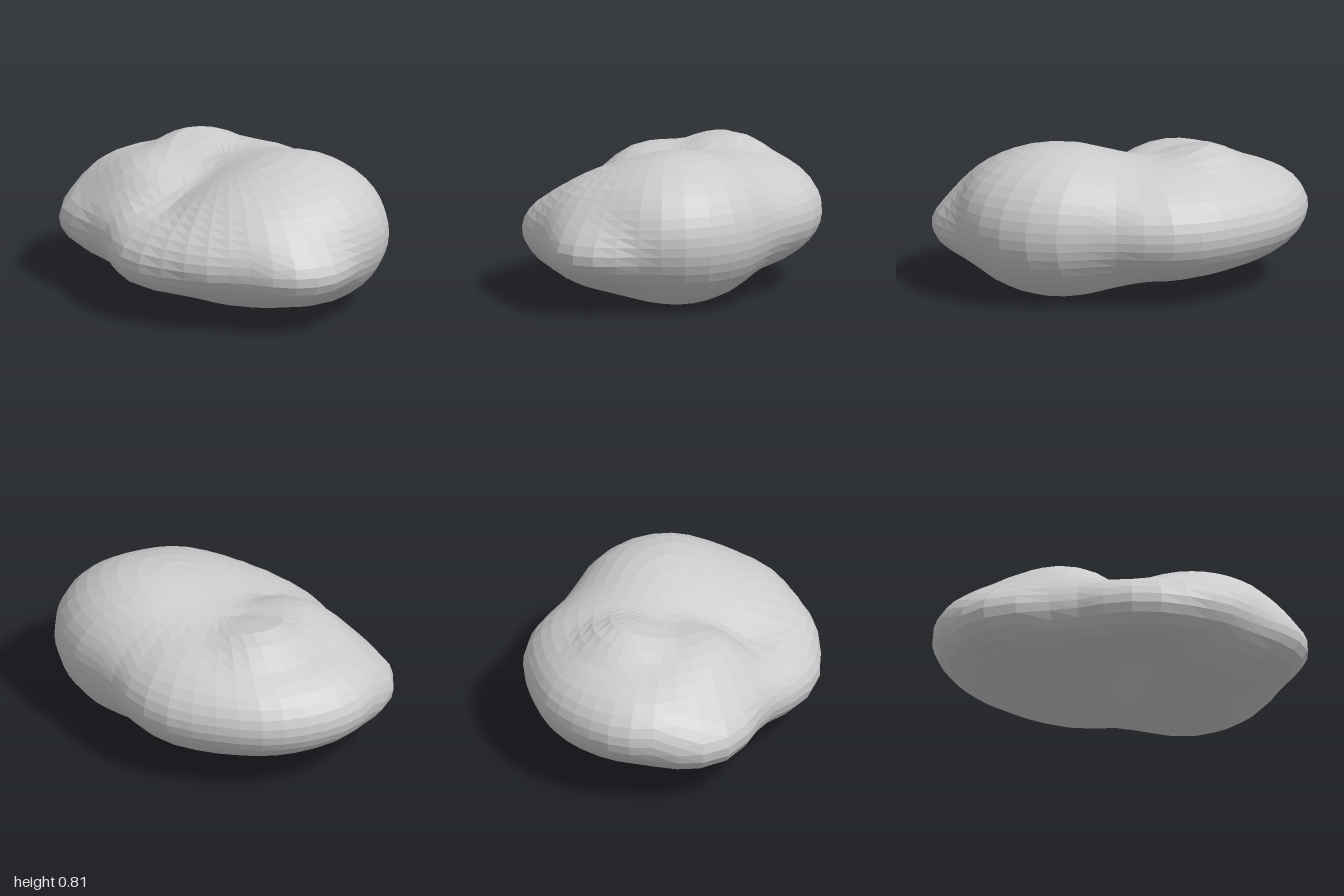
import * as THREE from 'three';

// Rounded masses that fuse into one stone: centre, radii
const MASSES = [
  { centre: [0.23, 0.41, 0.3], radii: [0.49, 0.405, 0.56] },     // main front bulk
  { centre: [0.2, 0.41, -0.2], radii: [0.52, 0.32, 0.57] },      // left rear bulk
  { centre: [-0.1, 0.41, -0.6], radii: [0.42, 0.25, 0.395] },    // rear end
  { centre: [0.12, 0.41, -0.5], radii: [0.38, 0.25, 0.42] },     // left rear slope
  { centre: [-0.4, 0.34, -0.5], radii: [0.29, 0.19, 0.35] },     // right rear corner
  { centre: [-0.25, 0.42, -0.3], radii: [0.33, 0.3, 0.4] },      // right shoulder
  { centre: [-0.48, 0.35, -0.12], radii: [0.18, 0.18, 0.4] },    // right flank
  { centre: [-0.55, 0.32, 0.15], radii: [0.185, 0.155, 0.3] },   // right side knob
  { centre: [-0.2, 0.36, 0.35], radii: [0.43, 0.25, 0.42] },     // right front slope
  { centre: [-0.04, 0.4, 0.38], radii: [0.4, 0.32, 0.5] },       // middle front
  { centre: [0.02, 0.33, 0.7], radii: [0.3, 0.175, 0.295] },     // front knob
  { centre: [0.06, 0.6, -0.45], radii: [0.24, 0.18, 0.2] },      // bump on top
];
const BLEND = 0.11;
const CORE = new THREE.Vector3(0, 0.4, 0);
const REACH = new THREE.Vector3(0.74, 0.41, 1);

// Approximate distance from a point to one mass
function massDistance(p, { centre, radii }) {
  let k0 = 0, k1 = 0;
  p.toArray().forEach((value, i) => {
    const q = (value - centre[i]) / radii[i];
    k0 += q * q;
    k1 += (q / radii[i]) ** 2;
  });
  k0 = Math.sqrt(k0);
  return k0 * (k0 - 1) / Math.max(Math.sqrt(k1), 1e-6);
}

// Distance to all masses, with soft creases between them
function stoneDistance(p) {
  return MASSES.reduce((nearest, mass) => {
    const d = massDistance(p, mass);
    const h = Math.max(BLEND - Math.abs(nearest - d), 0) / BLEND;
    return Math.min(nearest, d) - h * h * BLEND / 4;
  }, Infinity);
}

// Push each vertex of a sphere out from the core to the fused surface
function stoneGeometry() {
  const geometry = new THREE.SphereGeometry(1, 40, 26);
  const position = geometry.attributes.position;
  const direction = new THREE.Vector3(), p = new THREE.Vector3();
  for (let i = 0; i < position.count; i++) {
    direction.fromBufferAttribute(position, i).multiply(REACH);
    let inside = 0, outside = 1.8;
    for (let step = 0; step < 24; step++) {
      const middle = (inside + outside) / 2;
      p.copy(CORE).addScaledVector(direction, middle);
      if (stoneDistance(p) < 0) inside = middle;
      else outside = middle;
    }
    position.setXYZ(i, p.x, p.y, p.z);
  }
  geometry.computeVertexNormals();
  return geometry;
}

export function createModel() {
  const group = new THREE.Group();
  group.name = 'boulder';
  const material = new THREE.MeshStandardMaterial({ color: 0xcccccc, flatShading: true });
  const stone = new THREE.Mesh(stoneGeometry(), material);
  stone.name = 'stone';
  group.add(stone);
  return group;
}
